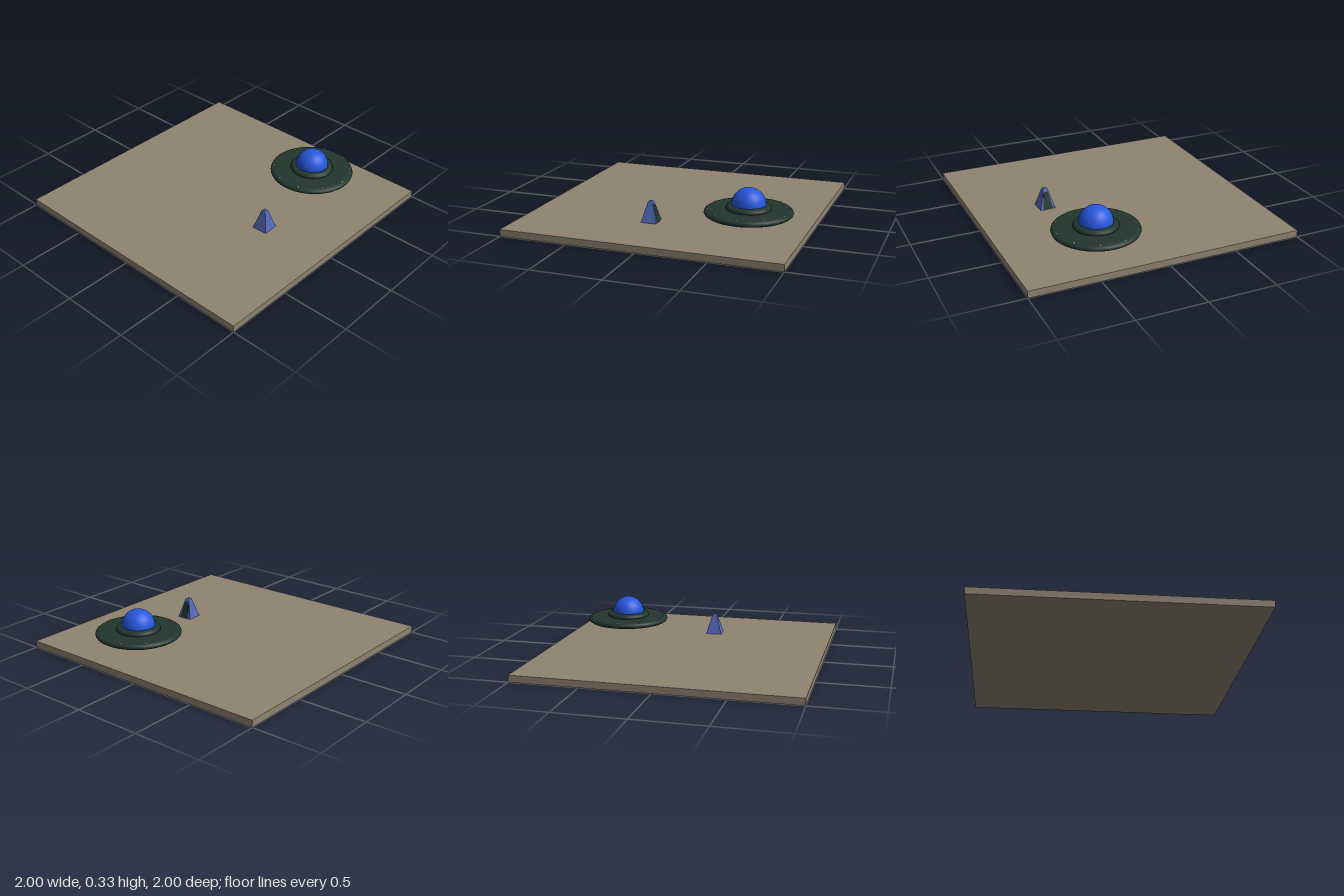
import * as THREE from 'three';

const material = (name, color, side = THREE.FrontSide) => {
  const m = new THREE.MeshStandardMaterial({ color, side });
  m.name = name;
  return m;
};

export function createModel() {
  const sand = material('sand', 0x908471);
  const hull = material('dark green hull', 0x22362e);
  const glass = material('blue glass', 0x2558de);
  const stone = material('blue stone', 0x5468b8);
  stone.flatShading = true;
  const metal = material('pale rivet', 0x9c9284);

  const model = new THREE.Group();
  const add = (parent, name, geometry, mat, x = 0, y = 0, z = 0) => {
    const mesh = new THREE.Mesh(geometry, mat);
    mesh.name = name;
    mesh.position.set(x, y, z);
    parent.add(mesh);
    return mesh;
  };
  const lathe = (points) => new THREE.LatheGeometry(points.map(([r, y]) => new THREE.Vector2(r, y)), 64);

  // Ground slab
  add(model, 'ground', new THREE.BoxGeometry(2, 0.05, 2), sand, 0, 0.025, 0);

  // Hovering saucer
  const saucer = new THREE.Group();
  saucer.name = 'saucer';
  saucer.position.set(0.583, 0, 0.355);
  model.add(saucer);
  add(saucer, 'disc', lathe([
    [0, 0.132], [0.27, 0.132], [0.292, 0.136], [0.305, 0.144], [0.31, 0.155],
    [0.305, 0.167], [0.293, 0.175], [0.27, 0.179], [0, 0.179],
  ]), hull);
  add(saucer, 'collar', lathe([
    [0.155, 0.175], [0.16, 0.185], [0.157, 0.196], [0.147, 0.205], [0.13, 0.21], [0, 0.21],
  ]), hull);
  add(saucer, 'dome', new THREE.SphereGeometry(0.12, 48, 20, 0, Math.PI * 2, 0, Math.PI / 2), glass, 0, 0.208, 0);

  // Ring of rivets around the rim
  const rivet = new THREE.SphereGeometry(0.009, 12, 8);
  for (let i = 0; i < 10; i++) {
    const a = (i * Math.PI) / 5;
    add(saucer, 'rivet', rivet, metal, Math.sin(a) * 0.286, 0.174, Math.cos(a) * 0.286);
  }

  // Obelisk, turned slightly
  const obelisk = new THREE.Group();
  obelisk.name = 'obelisk';
  obelisk.position.set(-0.095, 0.05, 0.47);
  obelisk.rotation.y = 0.05;
  model.add(obelisk);
  const frustum = (top, bottom, height) =>
    new THREE.CylinderGeometry(top * Math.SQRT2, bottom * Math.SQRT2, height, 4).rotateY(Math.PI / 4);
  add(obelisk, 'shaft', frustum(0.017, 0.058, 0.143), stone, 0, 0.0715, 0);
  add(obelisk, 'cap', frustum(0.011, 0.017, 0.006), stone, 0, 0.146, 0);

  // Dark panel lying on the sloping +x face
  const slope = Math.atan2(0.041, 0.143);
  const panel = new THREE.Shape();
  panel.moveTo(-0.038, 0.001);
  panel.lineTo(0.038, 0.001);
  panel.lineTo(0.016, 0.128);
  panel.lineTo(-0.016, 0.128);
  const plate = new THREE.ExtrudeGeometry(panel, { depth: 0.002, bevelEnabled: false });
  plate.rotateX(-slope).rotateY(Math.PI / 2);
  add(obelisk, 'panel', plate, hull, 0.058, 0, 0);

  return model;
}
